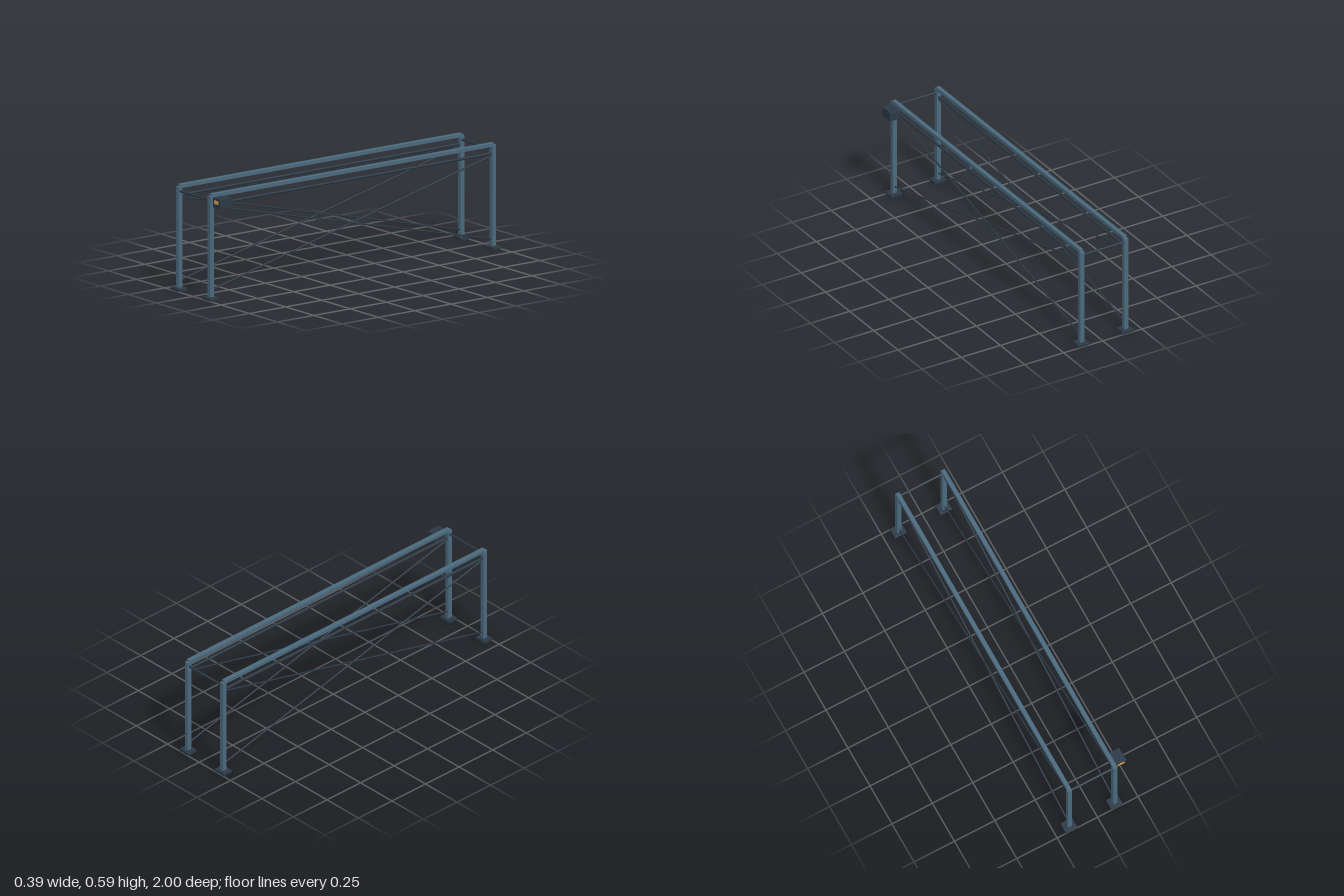
import * as THREE from 'three';
import { RoundedBoxGeometry } from 'three/addons/geometries/RoundedBoxGeometry.js';

const steel = new THREE.MeshStandardMaterial({ color: 0x4a697d });
const dark = new THREE.MeshStandardMaterial({ color: 0x2a3844 });
const amber = new THREE.MeshStandardMaterial({ color: 0xe0a050 });

export function createModel() {
  const model = new THREE.Group();

  // Softly bevelled box placed by its centre
  const box = (name, material, size, position, bevel = 0.002) => {
    const mesh = new THREE.Mesh(new RoundedBoxGeometry(...size, 2, bevel), material);
    mesh.name = name;
    mesh.position.set(...position);
    model.add(mesh);
  };

  // Round bar between two points
  const bar = (name, from, to, radius) => {
    const a = new THREE.Vector3(...from);
    const b = new THREE.Vector3(...to);
    const mesh = new THREE.Mesh(new THREE.CylinderGeometry(radius, radius, a.distanceTo(b), 12), dark);
    mesh.name = name;
    mesh.position.copy(a).lerp(b, 0.5);
    mesh.quaternion.setFromUnitVectors(new THREE.Vector3(0, 1, 0), b.sub(a).normalize());
    model.add(mesh);
  };

  const leftX = 0.12, rightX = -0.161, endZ = 0.97;

  for (const [side, x] of [['left', leftX], ['right', rightX]]) {
    // Posts on foot plates
    for (const [end, z] of [['Front', endZ], ['Back', -endZ]]) {
      box(`${side}${end}Foot`, dark, [0.072, 0.017, 0.06], [x, 0.0085, z]);
      box(`${side}${end}Post`, steel, [0.026, 0.566, 0.026], [x, 0.299, z]);
    }
    // Long top rail with a lower stringer
    box(`${side}TopRail`, steel, [0.024, 0.024, 2 * endZ], [x, 0.582, 0], 0.003);
    bar(`${side}Stringer`, [x, 0.532, -endZ], [x, 0.532, endZ], 0.008);
    // Crossed side braces
    for (const s of [-1, 1]) {
      bar(`${side}Brace`, [x, 0.053, s * endZ], [x, 0.523, -s * endZ], 0.0045);
    }
  }

  // End ties between the rails
  for (const s of [-1, 1]) {
    bar('endTie', [rightX, 0.556, s * endZ], [leftX, 0.556, s * endZ], 0.0068);
  }

  // Control box with a display on its front
  box('controlBox', dark, [0.064, 0.055, 0.08], [0.164, 0.5465, 0.925]);
  box('display', amber, [0.041, 0.02, 0.004], [0.163, 0.55, 0.965], 0.0005);

  return model;
}
